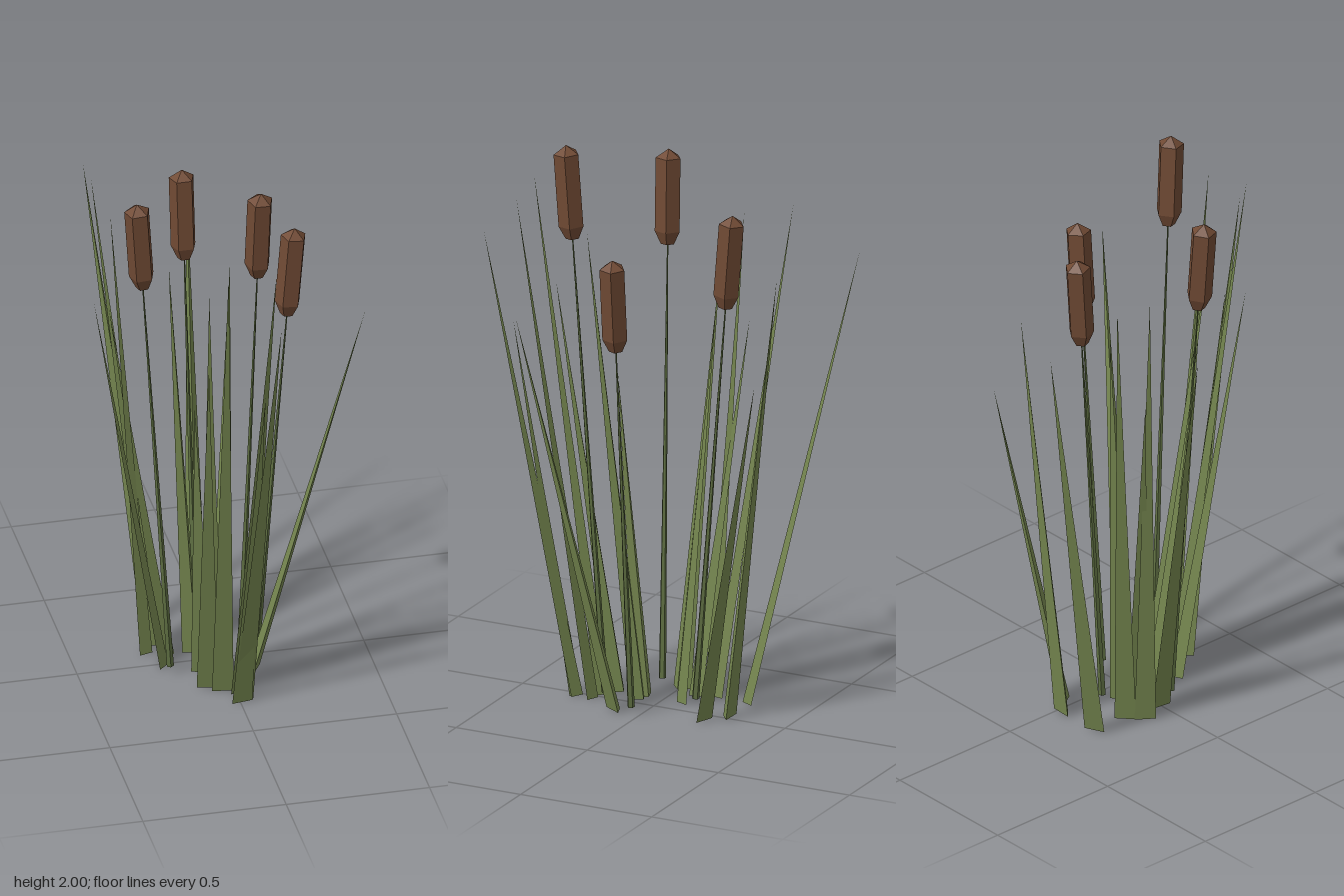
import * as THREE from 'three';

const leafMat = new THREE.MeshStandardMaterial({ color: 0x75864f, flatShading: true });
const stalkMat = new THREE.MeshStandardMaterial({ color: 0x5f6f42, flatShading: true });
const headMat = new THREE.MeshStandardMaterial({ color: 0x704a34, flatShading: true });

// Leaves: base x, base z, tip x, tip z, height
const LEAVES = [
  [-0.18, -0.27, -0.338, -0.615, 1.64],
  [-0.02, -0.275, -0.013, -0.462, 1.61],
  [0.05, -0.21, 0.137, -0.453, 1.27],
  [-0.19, -0.142, -0.373, -0.343, 1.75],
  [-0.165, -0.07, -0.346, -0.19, 1.32],
  [-0.235, -0.095, -0.345, -0.17, 1.7],
  [-0.203, 0, -0.435, -0.032, 1.45],
  [-0.083, -0.068, -0.141, -0.17, 1.47],
  [0.092, 0.102, 0.434, 0.306, 1.49],
  [-0.085, 0.175, -0.142, 0.445, 1.42],
  [-0.048, 0.08, -0.11, 0.31, 1.62],
  [-0.08, 0.075, -0.137, 0.206, 1.12],
  [-0.04, 0.208, -0.086, 0.5, 1.81],
  [0.005, 0.295, 0.04, 0.515, 1.32],
  [0.013, 0.228, 0.086, 0.48, 1.78],
  [0.01, 0.287, 0.073, 0.611, 1.64],
];

// Reeds: stalk base x, z; head top x, y, z
const REEDS = [
  [-0.19, 0.064, -0.315, 1.895, 0.103],
  [-0.057, -0.13, -0.075, 1.788, -0.262],
  [0.025, 0.174, 0.073, 2.0, 0.298],
  [0.118, 0.027, 0.252, 1.683, 0.031],
];

// Flattened three-sided spike, ridge facing the clump, sheared outward to its tip
function makeLeaf([bx, bz, tx, tz, h]) {
  const geo = new THREE.ConeGeometry(0.0425, h, 3, 1);
  geo.translate(0, h / 2, 0);
  geo.rotateY(Math.PI); // one corner towards -z
  geo.scale(1, 1, 0.48);
  geo.rotateY(Math.atan2(tx - bx, tz - bz));
  const shear = new THREE.Matrix4().set(
    1, (tx - bx) / h, 0, bx,
    0, 1, 0, 0,
    0, (tz - bz) / h, 1, bz,
    0, 0, 0, 1);
  geo.applyMatrix4(shear);
  const mesh = new THREE.Mesh(geo, leafMat);
  mesh.name = 'leaf';
  return mesh;
}

// Thin tapering stalk carrying a five-sided seed head, leaning as one piece
function makeReed([bx, bz, tx, ty, tz]) {
  const base = new THREE.Vector3(bx, 0.03, bz);
  const dir = new THREE.Vector3(tx, ty, tz).sub(base);
  const len = dir.length();
  const headLen = 0.335;
  const reed = new THREE.Group();
  reed.name = 'reed';

  const stalkLen = len - headLen + 0.05;
  const stalk = new THREE.Mesh(new THREE.CylinderGeometry(0.002, 0.013, stalkLen, 5), stalkMat);
  stalk.position.y = stalkLen / 2;
  stalk.name = 'stalk';

  // Narrowed foot, straight body, shallow pointed cap
  const profile = [[0, 0], [0.024, 0], [0.045, 0.046], [0.045, 0.305], [0, headLen]]
    .map(([x, y]) => new THREE.Vector2(x, y));
  const head = new THREE.Mesh(new THREE.LatheGeometry(profile, 5, Math.PI), headMat);
  head.position.y = len - headLen;
  head.name = 'seedHead';

  reed.add(stalk, head);
  reed.position.copy(base);
  reed.quaternion.setFromUnitVectors(new THREE.Vector3(0, 1, 0), dir.normalize());
  return reed;
}

export function createModel() {
  const model = new THREE.Group();
  model.name = 'reedClump';
  LEAVES.forEach((l) => model.add(makeLeaf(l)));
  REEDS.forEach((r) => model.add(makeReed(r)));
  return model;
}
